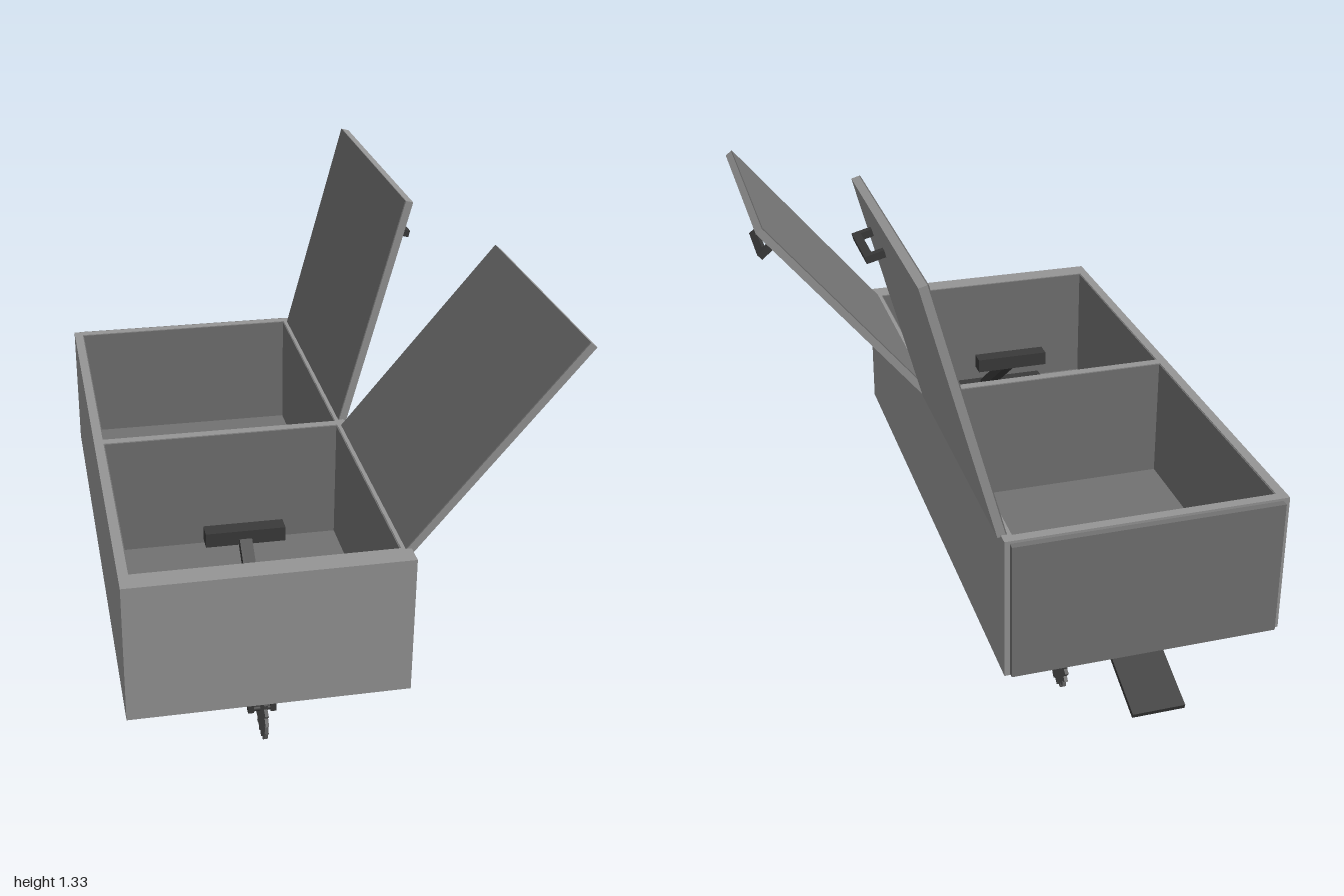
import * as THREE from 'three';

const bodyGrey = new THREE.MeshStandardMaterial({ color: 0x959595 });
const liningGrey = new THREE.MeshStandardMaterial({ color: 0x727272 });
const wheelGrey = new THREE.MeshStandardMaterial({ color: 0x555555 });
const dark = new THREE.MeshStandardMaterial({ color: 0x3a3a3a });

// Box given by its extents on each axis
function block(parent, name, [x0, x1], [y0, y1], [z0, z1], mat = bodyGrey) {
  const mesh = new THREE.Mesh(new THREE.BoxGeometry(x1 - x0, y1 - y0, z1 - z0), mat);
  mesh.position.set((x0 + x1) / 2, (y0 + y1) / 2, (z0 + z1) / 2);
  mesh.name = name;
  parent.add(mesh);
}

// Dark bar between two points of the x-y plane, with its width along z
function slopedBar(parent, name, [xa, ya], [xb, yb], z, thickness, width) {
  const mesh = new THREE.Mesh(
    new THREE.BoxGeometry(Math.hypot(xb - xa, yb - ya), thickness, width), dark);
  mesh.position.set((xa + xb) / 2, (ya + yb) / 2, z);
  mesh.rotation.z = Math.atan2(yb - ya, xb - xa);
  mesh.name = name;
  parent.add(mesh);
}

// Open lid hinged on the back rim, lined inside, with a bracket handle outside
function addLid(parent, name, x0, x1, tiltDegrees, handleX, handleY) {
  const lid = new THREE.Group();
  lid.name = name;
  lid.position.set(0, 0.655, -0.36);
  lid.rotation.x = -THREE.MathUtils.degToRad(tiltDegrees);
  block(lid, name + 'Panel', [x0, x1], [0, 0.702], [-0.025, -0.003]);
  block(lid, name + 'Lining', [x0, x1], [0, 0.702], [-0.003, 0], liningGrey);
  const y = [handleY - 0.01, handleY + 0.01];
  block(lid, 'handleBar', [handleX - 0.09, handleX + 0.09], y, [-0.078, -0.056], dark);
  for (const s of [-1, 1]) {
    const c = handleX + s * 0.08;
    block(lid, 'handleLeg', [c - 0.01, c + 0.01], y, [-0.058, -0.024], dark);
  }
  parent.add(lid);
}

// Thin lining on the floor and four walls of one compartment
function addLining(parent, x0, x1, z0, z1) {
  const t = 0.003, y = [0.285, 0.653];
  block(parent, 'floorLining', [x0, x1], [0.285, 0.285 + t], [z0, z1], liningGrey);
  block(parent, 'sideLining', [x0, x0 + t], y, [z0, z1], liningGrey);
  block(parent, 'sideLining', [x1 - t, x1], y, [z0, z1], liningGrey);
  block(parent, 'backLining', [x0 + t, x1 - t], y, [z0, z0 + t], liningGrey);
  block(parent, 'frontLining', [x0 + t, x1 - t], y, [z1 - t, z1], liningGrey);
}

// Thin toothed wheel held in a fork
function addWheel(parent, x, z) {
  const wheel = new THREE.Group();
  wheel.name = 'wheelAssembly';
  wheel.position.set(x, 0, z);

  const teeth = 18, points = [];
  for (let i = 0; i < teeth; i++) {
    const a = (i / teeth) * Math.PI * 2;
    const b = a + Math.PI * 2 / teeth * 0.7;
    points.push(new THREE.Vector2(Math.cos(a) * 0.087, Math.sin(a) * 0.087));
    points.push(new THREE.Vector2(Math.cos(b) * 0.073, Math.sin(b) * 0.073));
  }
  const geo = new THREE.ExtrudeGeometry(new THREE.Shape(points), { depth: 0.01, bevelEnabled: false });
  geo.translate(0, 0.087, -0.005);
  const disc = new THREE.Mesh(geo, wheelGrey);
  disc.name = 'toothedWheel';
  wheel.add(disc);

  block(wheel, 'stem', [-0.01, 0.01], [0.2, 0.256], [-0.01, 0.01], dark);
  block(wheel, 'forkBridge', [-0.01, 0.01], [0.198, 0.215], [-0.04, 0.04], dark);
  for (const s of [-1, 1]) {
    const c = s * 0.032;
    block(wheel, 'forkProng', [-0.01, 0.01], [0.08, 0.2], [c - 0.008, c + 0.008], dark);
  }
  const axle = new THREE.Mesh(new THREE.CylinderGeometry(0.007, 0.007, 0.07, 10), dark);
  axle.rotation.x = Math.PI / 2;
  axle.position.y = 0.087;
  axle.name = 'axle';
  wheel.add(axle);
  parent.add(wheel);
}

export function createModel() {
  const model = new THREE.Group();
  model.name = 'wheeledChest';

  // The whole chest stands turned on the ground
  const chest = new THREE.Group();
  chest.name = 'chest';
  chest.rotation.y = -THREE.MathUtils.degToRad(37.2);
  chest.position.set(-0.115, 0, 0.055);
  model.add(chest);

  // Hollow body with two compartments
  const x = [-0.815, 0.836], y = [0.255, 0.655];
  const front = 0.382, back = -0.376, wall = 0.027;
  const inner = [back + wall, front - wall];
  block(chest, 'floor', x, [0.255, 0.285], [back, front]);
  block(chest, 'frontWall', x, y, [front - wall, front]);
  block(chest, 'backWall', x, y, [back, back + wall]);
  block(chest, 'rightEndWall', [x[0], -0.788], y, inner);
  block(chest, 'leftEndWall', [0.772, x[1]], y, inner);
  block(chest, 'divider', [0.018, 0.045], y, inner);
  block(chest, 'endPanel', [-0.834, -0.815], [0.262, 0.648], [-0.362, 0.364], liningGrey);
  addLining(chest, -0.788, 0.018, ...inner);
  addLining(chest, 0.045, 0.772, ...inner);

  // Lids
  addLid(chest, 'rightLid', -0.783, 0.012, 14.8, -0.175, 0.583);
  addLid(chest, 'leftLid', 0.05, 0.778, 39.3, 0.225, 0.615);

  // Wheels: one at the left end, a pair at the right end
  addWheel(chest, 0.632, -0.01);
  for (const s of [-1, 1]) addWheel(chest, -0.56, s * 0.14 - 0.01);

  // Foot pedal under the right end
  block(chest, 'pedalBase', [-0.79, -0.625], [0.236, 0.248], [-0.222, 0.195], dark);
  slopedBar(chest, 'pedal', [-0.96, 0.173], [-0.77, 0.242], -0.01, 0.014, 0.142);

  // Grip on a sloping rod inside the left compartment
  block(chest, 'gripBase', [0.562, 0.762], [0.288, 0.305], [-0.2, 0.2], dark);
  slopedBar(chest, 'gripRod', [0.725, 0.3], [0.42, 0.525], 0, 0.03, 0.035);
  block(chest, 'grip', [0.397, 0.443], [0.51, 0.552], [-0.112, 0.112], dark);

  return model;
}
